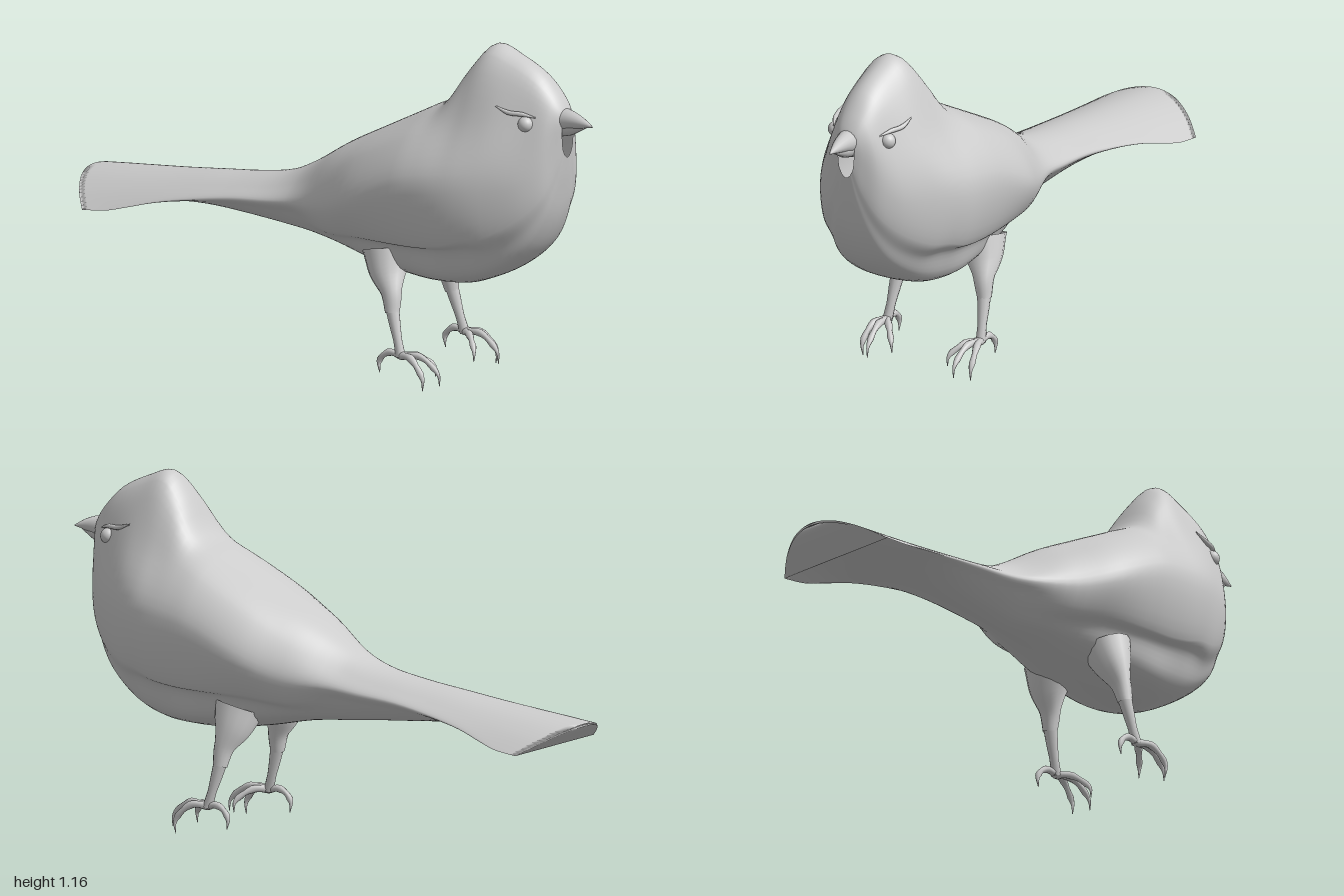
import * as THREE from 'three';

const mat = new THREE.MeshStandardMaterial({ color: 0xcccccc, roughness: 0.8, side: THREE.DoubleSide });
const V = (x, y, z) => new THREE.Vector3(x, y, z);

function add(parent, name, geometry) {
  const m = new THREE.Mesh(geometry, mat);
  m.name = name;
  parent.add(m);
  return m;
}

// Head and breast sections: z, top y, five side points (x, y: crown, cheek,
// wing, wing edge, belly), bottom y
const FRONT = [
  [0.90, 0.965, 0.015, 0.96, 0.03, 0.94, 0.03, 0.89, 0.025, 0.85, 0.015, 0.83, 0.82],
  [0.888, 0.99, 0.03, 0.98, 0.05, 0.94, 0.055, 0.85, 0.05, 0.78, 0.03, 0.74, 0.73],
  [0.86, 1.03, 0.04, 1.015, 0.08, 0.94, 0.105, 0.80, 0.10, 0.69, 0.06, 0.62, 0.60],
  [0.80, 1.09, 0.05, 1.065, 0.108, 0.94, 0.16, 0.76, 0.15, 0.62, 0.09, 0.515, 0.49],
  [0.70, 1.138, 0.055, 1.11, 0.147, 0.94, 0.215, 0.75, 0.20, 0.56, 0.12, 0.435, 0.41],
  [0.62, 1.16, 0.06, 1.13, 0.16, 0.93, 0.248, 0.74, 0.225, 0.54, 0.14, 0.40, 0.37],
  [0.55, 1.09, 0.075, 1.06, 0.165, 0.91, 0.265, 0.73, 0.235, 0.515, 0.15, 0.385, 0.345],
  [0.47, 0.965, 0.09, 0.95, 0.18, 0.88, 0.275, 0.72, 0.235, 0.50, 0.16, 0.38, 0.34],
  [0.38, 0.915, 0.09, 0.90, 0.20, 0.84, 0.28, 0.70, 0.235, 0.495, 0.16, 0.385, 0.335],
  [0.20, 0.82, 0.10, 0.805, 0.20, 0.75, 0.27, 0.62, 0.22, 0.49, 0.14, 0.40, 0.36],
  [0.05, 0.74, 0.10, 0.72, 0.17, 0.66, 0.213, 0.56, 0.18, 0.475, 0.10, 0.415, 0.39],
];

// Rump and tail sections: z, top y, half width, edge y, bottom y
const REAR = [
  [-0.10, 0.645, 0.16, 0.535, 0.405],
  [-0.20, 0.597, 0.148, 0.52, 0.415],
  [-0.35, 0.565, 0.147, 0.505, 0.428],
  [-0.50, 0.545, 0.16, 0.48, 0.443],
  [-0.65, 0.525, 0.18, 0.455, 0.458],
  [-0.80, 0.508, 0.205, 0.428, 0.475],
  [-0.90, 0.497, 0.222, 0.41, 0.482],
  [-1.00, 0.485, 0.23, 0.40, 0.477],
];

function frontSection(s) {
  const p = [V(0, s[1], s[0])];
  for (let i = 2; i < 12; i += 2) p.push(V(s[i], s[i + 1], s[0]));
  // tuck under the folded wing's lower edge
  const lip = THREE.MathUtils.smoothstep(0.75 - Math.abs(s[0] - 0.38), 0.35, 0.65);
  const mid = p[4].clone().lerp(p[5], 0.5);
  p.splice(5, 0, mid.lerp(V(p[4].x - 0.035, p[4].y - 0.02, s[0]), lip));
  p.push(V(0, s[12], s[0]));
  return p;
}

function rearSection([z, top, w, edge, bottom]) {
  const at = (f, y) => {
    // the tail's end is rounded: its corners lie further forward
    const tail = THREE.MathUtils.smoothstep(-z, 0.5, 1);
    return V(f * w, y + (edge - y) * f * f, z + 0.12 * f * f * tail);
  };
  return [...[0, 0.35, 0.7, 1].map(f => at(f, top)), ...[0.82, 0.6, 0.35, 0].map(f => at(f, bottom))];
}

// Smooth skin through mirrored sections, running from face to tail tip
function bodyGeometry() {
  const around = 84, steps = 4;
  const rings = [...FRONT.map(frontSection), ...REAR.map(rearSection)].map(half => {
    const other = half.slice(1, -1).reverse().map(p => V(-p.x, p.y, p.z));
    const loop = new THREE.CatmullRomCurve3([...half, ...other], true);
    return Array.from({ length: around }, (_, j) => loop.getPoint(j / around));
  });
  const rows = (rings.length - 1) * steps, pos = [], index = [];
  const lines = rings[0].map((_, j) => new THREE.CatmullRomCurve3(rings.map(r => r[j])));
  for (let i = 0; i <= rows; i++) {
    for (let j = 0; j < around; j++) {
      pos.push(...lines[j].getPoint(i / rows).toArray());
      if (i === rows) continue;
      const a = i * around + j, b = i * around + (j + 1) % around;
      index.push(a, b, a + around, b, b + around, a + around);
    }
  }
  // close the thin tail end
  const last = rows * around;
  for (let j = 0; j < around / 2; j++) {
    const a = last + j, b = last + j + 1;
    const c = last + (around - j) % around, d = last + around - j - 1;
    index.push(a, b, c, b, d, c);
  }
  const g = new THREE.BufferGeometry();
  g.setAttribute('position', new THREE.Float32BufferAttribute(pos, 3));
  g.setIndex(index);
  g.computeVertexNormals();
  return g;
}

// Tube whose radius follows a list of values along its length
function taper(points, radii, n = 16, sides = 10) {
  const curve = new THREE.CatmullRomCurve3(points);
  const g = new THREE.TubeGeometry(curve, n, 1, sides);
  const pos = g.attributes.position, v = V(0, 0, 0);
  for (let i = 0; i <= n; i++) {
    const c = curve.getPointAt(i / n), t = (i / n) * (radii.length - 1);
    const k = Math.min(Math.floor(t), radii.length - 2);
    const r = THREE.MathUtils.lerp(radii[k], radii[k + 1], t - k);
    for (let j = 0; j <= sides; j++) {
      const id = i * (sides + 1) + j;
      v.fromBufferAttribute(pos, id).sub(c).multiplyScalar(r).add(c);
      pos.setXYZ(id, v.x, v.y, v.z);
    }
  }
  return g;
}

// Toe paths from the ankle to the claw tip
const TOES = {
  outerToe: [[0.18, 0.1, 0.36], [0.197, 0.102, 0.41], [0.207, 0.07, 0.45], [0.209, 0.04, 0.468], [0.207, 0.002, 0.466]],
  middleToe: [[0.18, 0.1, 0.36], [0.172, 0.105, 0.43], [0.168, 0.08, 0.475], [0.166, 0.05, 0.502], [0.166, 0.015, 0.505]],
  innerToe: [[0.18, 0.1, 0.36], [0.15, 0.1, 0.40], [0.125, 0.08, 0.43], [0.11, 0.058, 0.447], [0.107, 0.025, 0.448]],
  hindToe: [[0.18, 0.1, 0.36], [0.182, 0.105, 0.32], [0.184, 0.09, 0.292], [0.185, 0.065, 0.277], [0.185, 0.03, 0.28]],
};

export function createModel() {
  const bird = new THREE.Group();
  bird.name = 'bird';
  add(bird, 'body', bodyGeometry());

  // Beak: two pointed halves
  add(bird, 'upperBeak', taper([V(0, 0.942, 0.86), V(0, 0.946, 0.92), V(0, 0.943, 0.965), V(0, 0.937, 1)],
    [0.046, 0.035, 0.02, 0.002], 12, 16));
  add(bird, 'lowerBeak', taper([V(0, 0.918, 0.86), V(0, 0.924, 0.92), V(0, 0.932, 0.975)],
    [0.036, 0.026, 0.002], 10, 16));

  for (const s of [1, -1]) {
    const side = s > 0 ? 'left' : 'right';
    const path = pts => pts.map(([x, y, z]) => V(s * x, y, z));

    const eye = add(bird, side + 'Eye', new THREE.SphereGeometry(0.026, 20, 14));
    eye.position.set(s * 0.1, 0.938, 0.803);

    // Ridge behind and above the eye
    add(bird, side + 'Brow', taper(path([[0.088, 0.962, 0.835], [0.108, 0.972, 0.795], [0.122, 0.974, 0.75], [0.126, 0.99, 0.70]]),
      [0.002, 0.008, 0.008, 0.002], 12, 8));

    const leg = new THREE.Group();
    leg.name = side + 'Leg';
    bird.add(leg);
    add(leg, 'thigh', taper(path([[0.125, 0.43, 0.27], [0.145, 0.36, 0.285], [0.16, 0.29, 0.31], [0.168, 0.235, 0.318]]),
      [0.085, 0.065, 0.035, 0.024], 14, 14));
    add(leg, 'shank', taper(path([[0.165, 0.26, 0.314], [0.171, 0.2, 0.33], [0.176, 0.14, 0.347], [0.18, 0.095, 0.36]]),
      [0.024, 0.02, 0.015, 0.017]));
    for (const [name, pts] of Object.entries(TOES)) {
      add(leg, name, taper(path(pts), [0.015, 0.011, 0.013, 0.009, 0.011, 0.005, 0.001], 18, 8));
    }
  }
  return bird;
}
